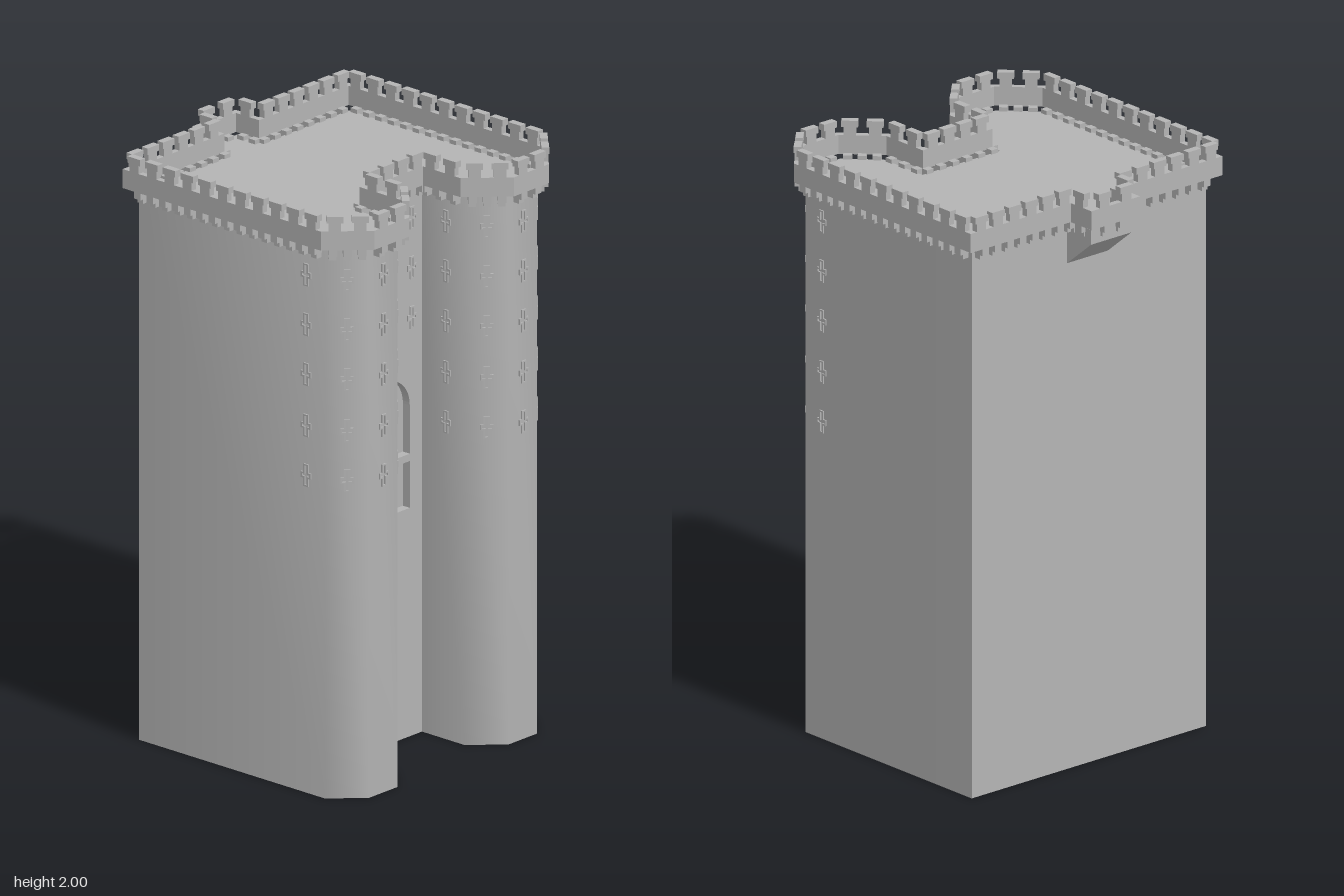
import * as THREE from 'three';
import { toCreasedNormals } from 'three/addons/utils/BufferGeometryUtils.js';

const stone = new THREE.MeshStandardMaterial({ color: 0xb4b4b4 });
stone.name = 'stone';

// Plan outlines as [x, z]; front tower chamfers, gate notch, and a back latrine bay
const NOTCH = 0.215;
const plan = (notchX, bay) => [
  [-0.405, 0.5], [0.4, 0.5], [0.5, 0.4], [0.5, 0.265], [0.4, 0.165], [notchX, 0.165],
  [notchX, -0.165], [0.4, -0.165], [0.5, -0.265], [0.5, -0.4], [0.4, -0.5], [-0.405, -0.5],
  ...(bay ? [[-0.405, -0.073], [-0.505, -0.073], [-0.505, 0.06], [-0.405, 0.06]] : []),
];

// Unit direction and outward normal of the edge a -> b
function edge(a, b) {
  const dx = b[0] - a[0], dz = b[1] - a[1], len = Math.hypot(dx, dz);
  return { dx: dx / len, dz: dz / len, nx: -dz / len, nz: dx / len, len };
}

// Mitred offset of a plan outline
function offset(pts, d) {
  const n = pts.length;
  return pts.map((p, i) => {
    const a = edge(pts[(i + n - 1) % n], p), b = edge(p, pts[(i + 1) % n]);
    const k = d / (1 + a.nx * b.nx + a.nz * b.nz);
    return [p[0] + (a.nx + b.nx) * k, p[1] + (a.nz + b.nz) * k];
  });
}

// Extrude a plan outline upward from y0 to y1
function prism(outer, y0, y1, hole) {
  const vec = (pts) => pts.map(([x, z]) => new THREE.Vector2(x, -z));
  const shape = new THREE.Shape(vec(outer));
  if (hole) shape.holes.push(new THREE.Path(vec(hole)));
  const g = new THREE.ExtrudeGeometry(shape, { depth: y1 - y0, bevelEnabled: false });
  g.rotateX(-Math.PI / 2);
  g.translate(0, y0, 0);
  return g;
}

function crossPoints(w, h, t) {
  return [[-t, -h], [t, -h], [t, -t], [w, -t], [w, t], [t, t], [t, h], [-t, h], [-t, t], [-w, t], [-w, -t], [-t, -t]]
    .map(([x, y]) => new THREE.Vector2(x, y));
}

export function createModel() {
  const model = new THREE.Group();
  model.name = 'castleKeep';
  const add = (name, geometry, parent = model) => {
    const m = new THREE.Mesh(geometry, stone);
    m.name = name;
    parent.add(m);
    return m;
  };
  const group = (name) => {
    const g = new THREE.Group();
    g.name = name;
    model.add(g);
    return g;
  };

  // Main body with softly rounded tower corners
  add('keepBody', toCreasedNormals(prism(plan(NOTCH - 0.03, false), 0, 1.875), 0.9));

  // Gate wall with an arched recess and a square recess
  const wall = new THREE.Shape();
  wall.moveTo(-0.165, 0).lineTo(0.165, 0).lineTo(0.165, 1.875).lineTo(-0.165, 1.875).closePath();
  const arch = new THREE.Path();
  arch.moveTo(-0.107, 0.965).lineTo(0.107, 0.965).lineTo(0.107, 1.13);
  arch.absarc(0, 1.13, 0.107, 0, Math.PI, false);
  arch.closePath();
  const square = new THREE.Path();
  square.moveTo(-0.107, 0.78).lineTo(0.107, 0.78).lineTo(0.107, 0.94).lineTo(-0.107, 0.94).closePath();
  wall.holes.push(arch, square);
  const wallGeo = new THREE.ExtrudeGeometry(wall, { depth: 0.03, bevelEnabled: false, curveSegments: 16 });
  wallGeo.rotateY(Math.PI / 2);
  wallGeo.translate(NOTCH - 0.03, 0, 0);
  add('gateWall', wallGeo);

  // Bay on the back wall, carried on a sloping underside
  const bay = new THREE.Shape([[-0.405, 1.73], [-0.405, 1.875], [-0.52, 1.875], [-0.52, 1.825]]
    .map(([x, y]) => new THREE.Vector2(x, y)));
  const bayGeo = new THREE.ExtrudeGeometry(bay, { depth: 0.173, bevelEnabled: false });
  bayGeo.translate(0, 0, -0.093);
  add('backBay', bayGeo);

  // Parapet wall standing clear of the body
  const line = plan(NOTCH, true);
  add('parapetWall', prism(offset(line, 0.037), 1.885, 1.95, offset(line, 0.016)));

  // Corbels and merlons spaced along every edge
  const corbels = group('corbels'), merlons = group('merlons');
  const upper = new THREE.BoxGeometry(0.028, 0.027, 0.045);
  const lower = new THREE.BoxGeometry(0.024, 0.018, 0.028);
  const shaft = new THREE.BoxGeometry(0.04, 0.028, 0.021);
  const cap = new THREE.BoxGeometry(0.054, 0.022, 0.025);
  const row = (pts, pitch, parts, parent) => pts.forEach((a, i) => {
    const b = pts[(i + 1) % pts.length], e = edge(a, b);
    const n = Math.max(1, Math.round(e.len / pitch));
    for (let k = 0; k < n; k++) {
      const t = ((k + 0.5) / n) * e.len;
      for (const [name, geo, y, out] of parts) {
        const m = add(name, geo, parent);
        m.position.set(a[0] + e.dx * t + e.nx * out, y, a[1] + e.dz * t + e.nz * out);
        m.rotation.y = Math.atan2(e.nx, e.nz);
      }
    }
  });
  row(line, 0.055, [['corbelTop', upper, 1.8755, 0.0145], ['corbelFoot', lower, 1.855, 0.01]], corbels);
  row(offset(line, 0.0265), 0.077, [['merlon', shaft, 1.964, 0], ['merlonCap', cap, 1.989, 0]], merlons);

  // Cross-shaped arrow slits
  const slits = group('arrowSlits');
  const cross = new THREE.Shape(crossPoints(0.021, 0.038, 0.01));
  cross.holes.push(new THREE.Path(crossPoints(0.016, 0.033, 0.004)));
  const slitGeo = new THREE.ExtrudeGeometry(cross, { depth: 0.005, bevelEnabled: false });
  const rows = [1.77, 1.6, 1.43, 1.255, 1.085];
  const slit = (x, z, angle, y) => {
    const m = add('arrowSlit', slitGeo, slits);
    m.position.set(x, y, z);
    m.rotation.y = angle;
  };
  const q = Math.PI / 4;
  for (const side of [1, -1]) {
    const facets = [[0.32, 0.5, 0], [0.45, 0.45, q], [0.5, 0.3325, 2 * q], [0.45, 0.215, 3 * q], [0.32, 0.165, 4 * q]];
    for (const [x, z, a] of facets) {
      rows.forEach((y) => slit(x, side * z, side > 0 ? a : Math.PI - a, y));
    }
    rows.slice(0, 3).forEach((y) => slit(NOTCH, side * 0.115, 2 * q, y));
  }
  rows.slice(0, 2).forEach((y) => slit(NOTCH, 0, 2 * q, y));

  return model;
}
